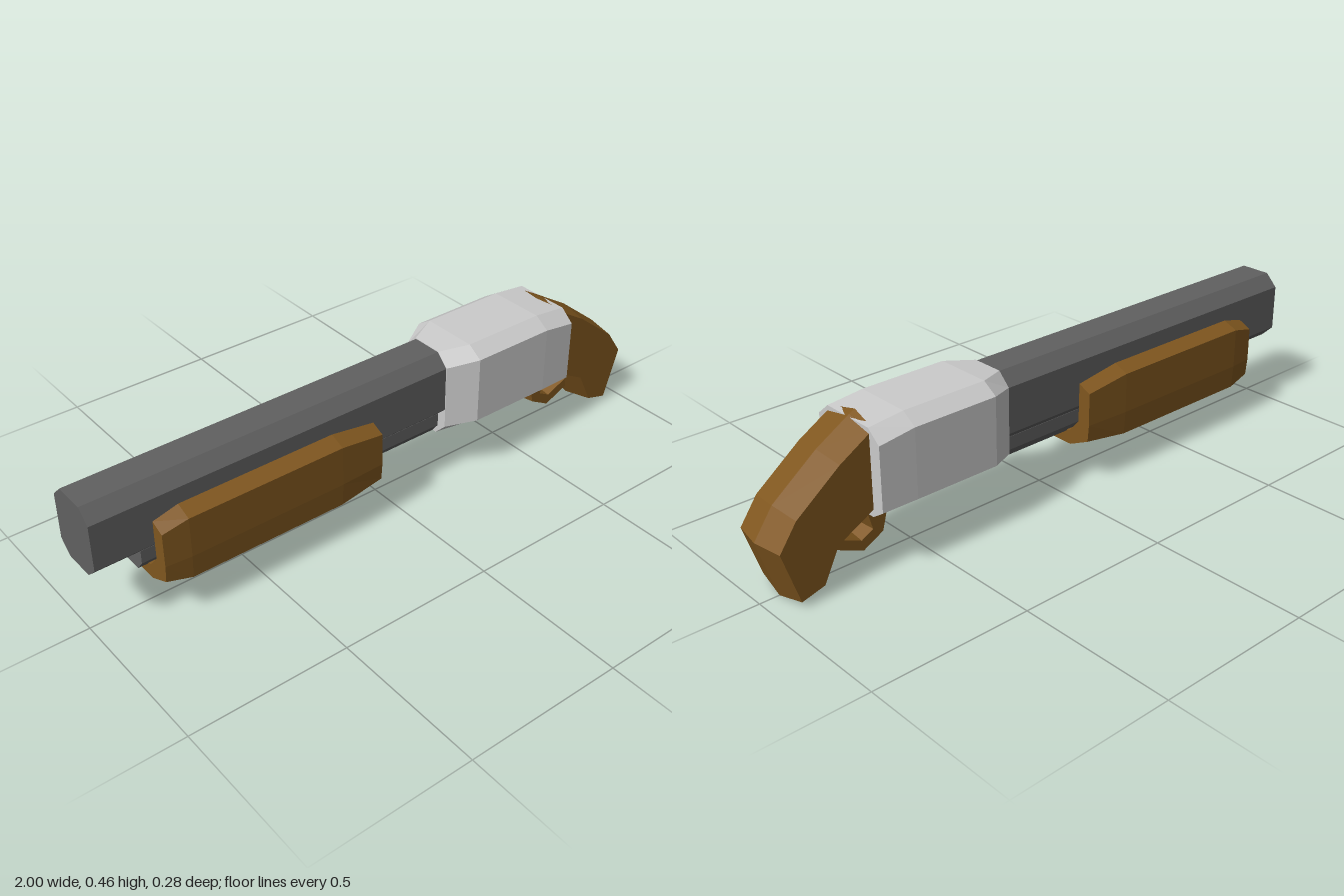
import * as THREE from 'three';

const paint = (color) => new THREE.MeshStandardMaterial({ color, flatShading: true, side: THREE.DoubleSide });

// Faceted loft along x. Each section is { x, half }, half being [z, y] points on the +z side,
// mirrored to close the ring.
function loft(sections) {
  const rings = sections.map(({ x, half }) => {
    const mirrored = half.map(([z, y]) => [-z, y]).reverse();
    return [...half, ...mirrored].map(([z, y]) => new THREE.Vector3(x, y, z));
  });
  const pos = [];
  const tri = (...pts) => pts.forEach((p) => pos.push(p.x, p.y, p.z));
  const n = rings[0].length;
  for (let i = 0; i < rings.length - 1; i++) {
    for (let j = 0; j < n; j++) {
      const k = (j + 1) % n;
      const [a, b, c, d] = [rings[i][j], rings[i][k], rings[i + 1][j], rings[i + 1][k]];
      tri(a, b, d);
      tri(a, d, c);
    }
  }
  // End caps
  const cap = (ring, flip) => {
    const flat = ring.map((p) => new THREE.Vector2(-p.z, p.y));
    for (const [a, b, c] of THREE.ShapeUtils.triangulateShape(flat, [])) {
      if (flip) tri(ring[a], ring[c], ring[b]);
      else tri(ring[a], ring[b], ring[c]);
    }
  };
  cap(rings[0], true);
  cap(rings[rings.length - 1], false);
  const g = new THREE.BufferGeometry();
  g.setAttribute('position', new THREE.Float32BufferAttribute(pos, 3));
  g.computeVertexNormals();
  return g;
}

// Side outline given thickness, with a raised ridge along its middle
function ridged(points, halfWidth, inset) {
  const shape = new THREE.Shape(points.map(([x, y]) => new THREE.Vector2(x, y)));
  const g = new THREE.ExtrudeGeometry(shape, {
    depth: 0.002, bevelEnabled: true, bevelSegments: 1,
    bevelThickness: halfWidth - 0.001, bevelSize: inset, bevelOffset: -inset,
  });
  return g.translate(0, 0, -0.001);
}

// Eight-sided half section: flat top and bottom, chamfered corners
const octagon = (w, flat, top, shoulder, hip, bottom) => [[flat, top], [w, shoulder], [w, hip], [flat, bottom]];

// U-shaped half section, from the inner floor over the lip to the underside
const cradle = (w, top, bottom) => [
  [0.05, 0.165], [0.089, 0.21], [0.091, top], [w, top - 0.02],
  [w, 0.21], [w - 0.005, bottom + 0.035], [0.055, bottom],
];

export function createModel() {
  const model = new THREE.Group();
  const steel = paint(0x606060);
  const grey = paint(0xcccccc);
  const wood = paint(0x80571f);
  const add = (name, geometry, material) => {
    const mesh = new THREE.Mesh(geometry, material);
    mesh.name = name;
    model.add(mesh);
  };

  // Barrel and the thinner tube below it
  const barrel = octagon(0.09, 0.05, 0.448, 0.408, 0.262, 0.224);
  add('barrel', loft([{ x: -1, half: barrel }, { x: 0.24, half: barrel }]), steel);
  const tube = octagon(0.06, 0.035, 0.27, 0.232, 0.19, 0.158);
  add('magazineTube', loft([{ x: -0.85, half: tube }, { x: 0.24, half: tube }]), steel);

  // Sliding wooden fore-end wrapped around the tube
  add('foreEnd', loft([
    { x: -0.82, half: cradle(0.134, 0.338, 0.12) },
    { x: -0.74, half: cradle(0.141, 0.358, 0.1) },
    { x: -0.23, half: cradle(0.141, 0.358, 0.1) },
    { x: -0.08, half: cradle(0.134, 0.335, 0.12) },
  ]), wood);

  // Receiver flares out of the barrel and narrows slightly at the grip
  add('receiver', loft([
    { x: 0.2, half: octagon(0.092, 0.052, 0.45, 0.41, 0.2, 0.16) },
    { x: 0.29, half: octagon(0.141, 0.092, 0.46, 0.428, 0.212, 0.18) },
    { x: 0.57, half: octagon(0.141, 0.092, 0.46, 0.428, 0.212, 0.18) },
    { x: 0.685, half: octagon(0.137, 0.092, 0.448, 0.41, 0.21, 0.18) },
  ]), grey);

  // Curved pistol grip
  add('grip', ridged([
    [0.66, 0.462], [0.68, 0.453], [0.79, 0.387], [0.935, 0.275], [0.997, 0.187],
    [0.938, 0], [0.842, 0.026], [0.79, 0.13], [0.66, 0.2],
  ], 0.095, 0.016), wood);

  // Hooked trigger guard
  add('triggerGuard', ridged([
    [0.57, 0.2], [0.57, 0.185], [0.605, 0.155], [0.622, 0.092], [0.695, 0.053], [0.788, 0.094],
    [0.778, 0.134], [0.7, 0.1], [0.667, 0.118], [0.68, 0.165], [0.7, 0.2],
  ], 0.05, 0.006), wood);

  return model;
}
